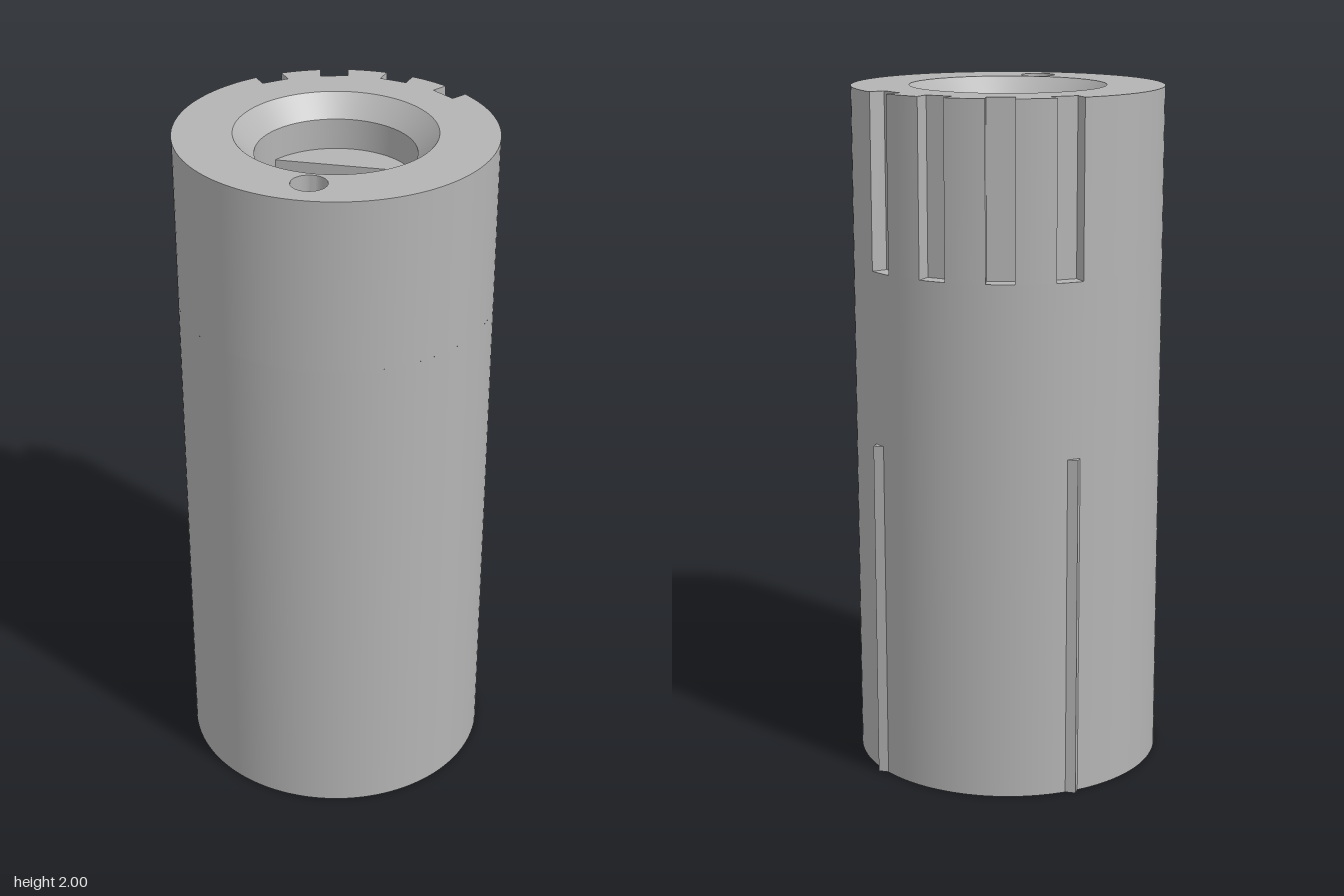
import * as THREE from 'three';
import { mergeGeometries, toCreasedNormals } from 'three/addons/utils/BufferGeometryUtils.js';

const R = 0.45, H = 2, NOTCH_Y = 1.5, LEDGE_Y = 1.85, CHAMFER = 0.06;
const BORE = 0.225, FLAT = 0.108;
const rad = THREE.MathUtils.degToRad;

// Plan outlines run counter-clockwise in (x, back), where back = -z.
const arc = (r, a, b, n, cx = 0, cy = 0) => Array.from({ length: n + 1 }, (_, i) => {
  const t = a + (b - a) * i / n;
  return new THREE.Vector2(cx + r * Math.cos(t), cy + r * Math.sin(t));
});
const circle = (r, n = 128, cx = 0, cy = 0) => arc(r, 0, Math.PI * 2, n, cx, cy).slice(0, n);

// Circle cut by a flat at the back
const dOutline = (r, f) => {
  const a = Math.asin(f / r);
  return arc(r, Math.PI - a, Math.PI * 2 + a, 96);
};

// Side wall between two outlines: faces outward going up, inward going down
function wall(lower, y1, upper, y2) {
  const n = lower.length, pos = [], idx = [];
  lower.forEach((p, i) => pos.push(p.x, y1, -p.y, upper[i].x, y2, -upper[i].y));
  for (let i = 0; i < n; i++) {
    const a = 2 * i, b = 2 * ((i + 1) % n);
    idx.push(a, b, b + 1, a, b + 1, a + 1);
  }
  const g = new THREE.BufferGeometry();
  g.setAttribute('position', new THREE.Float32BufferAttribute(pos, 3));
  g.setIndex(idx);
  return toCreasedNormals(g, 0.4);
}

// Flat horizontal face with holes
function cap(outline, y, holes = [], up = true) {
  const place = pts => up ? pts : pts.map(p => new THREE.Vector2(p.x, -p.y));
  const shape = new THREE.Shape(place(outline));
  shape.holes = holes.map(h => new THREE.Path(place(h)));
  const g = new THREE.ShapeGeometry(shape).rotateX(up ? -Math.PI / 2 : Math.PI / 2).translate(0, y, 0);
  g.deleteAttribute('uv');
  return g.toNonIndexed();
}

export function createModel() {
  const group = new THREE.Group();
  const grey = new THREE.MeshStandardMaterial({ color: 0xb4b4b4 });
  grey.name = 'grey';
  const add = (name, ...geos) => {
    const mesh = new THREE.Mesh(geos.length > 1 ? mergeGeometries(geos) : geos[0], grey);
    mesh.name = name;
    group.add(mesh);
  };

  // Upper outline with four square notches around the back
  const half = Math.asin(0.04 / R);
  const centres = [-37.5, -12.5, 12.5, 37.5].map(d => rad(90 + d));
  const corner = (a, s) => new THREE.Vector2(
    0.4 * Math.cos(a) - s * Math.sin(a), 0.4 * Math.sin(a) + s * Math.cos(a));
  const notched = [], floors = [];
  centres.forEach((a, i) => {
    const last = i === centres.length - 1;
    const next = last ? centres[0] + Math.PI * 2 : centres[i + 1];
    notched.push(corner(a, -0.04), corner(a, 0.04),
      ...arc(R, a + half, next - half, last ? 100 : 8));
    floors.push(cap([...arc(R, a - half, a + half, 6), corner(a, 0.04), corner(a, -0.04)], NOTCH_Y));
  });

  const outer = circle(R), mouth = circle(BORE + CHAMFER - 0.002), bore = circle(BORE);
  const pin = circle(0.05, 40, 0, -0.343);
  const dMouth = dOutline(0.33, 0.227), dInner = dOutline(0.27, 0.167), dTop = dOutline(BORE, FLAT);

  // Outer shell
  add('lowerShell', wall(outer, 0, outer, NOTCH_Y));
  add('notchedShell', wall(notched, NOTCH_Y, notched, H), ...floors);
  add('topFace', cap(notched, H, [mouth, pin]));
  add('bottomFace', cap(outer, 0, [dMouth], false));

  // Bore: round at the top, then a ledge and a flat-sided channel below
  add('topChamfer', wall(mouth, H, bore, H - CHAMFER));
  add('roundBore', wall(bore, H - CHAMFER, bore, LEDGE_Y));
  const a = Math.asin(FLAT / BORE);
  add('boreLedge', cap(arc(BORE, a, Math.PI - a, 40), LEDGE_Y));
  add('flatSidedBore', wall(dTop, LEDGE_Y, dInner, CHAMFER));
  add('bottomChamfer', wall(dInner, CHAMFER, dMouth, 0));

  // Blind pin hole near the front
  add('pinHole', wall(pin, H, pin, NOTCH_Y), cap(pin, NOTCH_Y));

  // Slim ribs low on the back
  for (const s of [-1, 1]) {
    add(s > 0 ? 'leftRib' : 'rightRib',
      new THREE.BoxGeometry(0.04, 1, 0.04).translate(s * 0.28, 0.5, -0.34));
  }
  return group;
}
